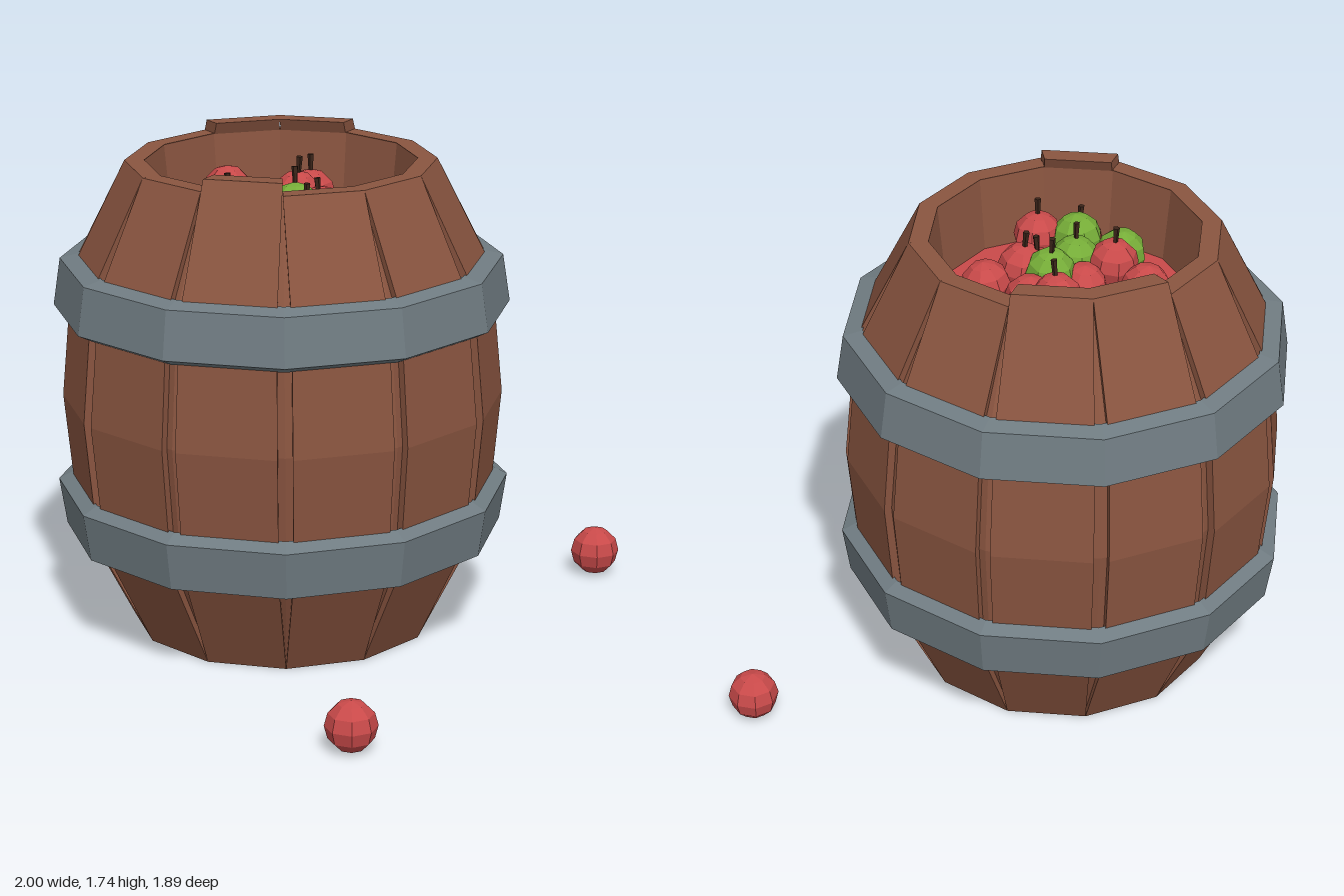
import * as THREE from 'three';

const SIDES = 12;
const STEP = (Math.PI * 2) / SIDES;
const FLAT = Math.cos(STEP / 2); // flat-to-corner ratio of the twelve-sided rings

function material(name, color) {
  const m = new THREE.MeshStandardMaterial({ color, flatShading: true });
  m.name = name;
  return m;
}

function addMesh(parent, name, geometry, mat) {
  const mesh = new THREE.Mesh(geometry, mat);
  mesh.name = name;
  parent.add(mesh);
  return mesh;
}

// Twelve-sided ring; profile is [distance to flat side, height]
function ringGeometry(profile) {
  const pts = profile.map(([r, y]) => new THREE.Vector2(r / FLAT, y));
  return new THREE.LatheGeometry(pts, SIDES, STEP / 2);
}

// Closed plank lofted through [height, outer, inner, half width] sections
function staveGeometry(sections) {
  const pos = [], index = [];
  for (const [y, out, inn, half] of sections) {
    const back = (half * inn) / out;
    pos.push(-half, y, out, half, y, out, back, y, inn, -back, y, inn);
  }
  for (let i = 0; i < sections.length - 1; i++) {
    for (let j = 0; j < 4; j++) {
      const a = i * 4 + j, b = i * 4 + ((j + 1) % 4);
      index.push(a, b, b + 4, a, b + 4, a + 4);
    }
  }
  const t = (sections.length - 1) * 4;
  index.push(t, t + 1, t + 2, t, t + 2, t + 3, 0, 2, 1, 0, 3, 2);
  const g = new THREE.BufferGeometry();
  g.setAttribute('position', new THREE.Float32BufferAttribute(pos, 3));
  g.setIndex(index);
  g.computeVertexNormals();
  return g;
}

export function createModel() {
  const wood = material('brown wood', 0x8a5540);
  const metal = material('grey metal', 0x707c82);
  const red = material('red apple', 0xc94a4a);
  const green = material('green apple', 0x76ad38);
  const stemBrown = material('dark stem', 0x3a2419);

  const model = new THREE.Group();
  model.name = 'appleBarrel';
  const barrel = new THREE.Group();
  barrel.name = 'barrel';
  barrel.position.set(-0.18, 0, -0.17);
  model.add(barrel);

  // Inner shell: recessed bottom, seams between staves, rim and inside wall
  addMesh(barrel, 'innerShell', ringGeometry([
    [0, 0.08], [0.45, 0.08], [0.45, 0.002], [0.51, 0.002], [0.692, 0.387], [0.735, 0.85],
    [0.692, 1.313], [0.51, 1.698], [0.465, 1.698], [0.437, 1.42], [0, 1.41],
  ]), wood);

  // Staves, three of them standing taller
  const raised = [4, 5, 10];
  for (let i = 0; i < SIDES; i++) {
    const top = raised.includes(i) ? [1.74, 0.515, 0.445, 0.138] : [1.7, 0.53, 0.463, 0.142];
    const stave = addMesh(barrel, 'stave', staveGeometry([
      [0, 0.53, 0.455, 0.142], [0.387, 0.723, 0.64, 0.168], [0.85, 0.765, 0.68, 0.178],
      [1.313, 0.723, 0.64, 0.168], top,
    ]), wood);
    stave.rotation.y = i * STEP;
  }

  // Metal hoops, the upper one mirrored from the lower one
  const hoop = [[0.69, 0.338], [0.758, 0.355], [0.783, 0.525], [0.73, 0.553]];
  addMesh(barrel, 'lowerHoop', ringGeometry(hoop), metal);
  addMesh(barrel, 'upperHoop',
    ringGeometry(hoop.map(([r, y]) => [r, 1.703 - y]).reverse()), metal);

  // Red fill under the apples
  addMesh(barrel, 'appleFill', ringGeometry([[0.438, 1.43], [0, 1.43]]), red);

  // Apples: [x, y, z, green?, stem?]
  const appleShape = new THREE.SphereGeometry(0.09, 8, 6);
  const stemShape = new THREE.CylinderGeometry(0.012, 0.008, 0.07, 5);
  const apples = [
    [-0.91, 0.09, 0.85, 0, 0], [0.905, 0.09, 0.415, 0, 0],
    [-0.11, 1.52, -0.51, 0, 0], [-0.34, 1.48, -0.4, 0, 0], [0, 1.5, 0.04, 0, 0],
    [-0.02, 1.49, -0.13, 0, 0], [-0.23, 1.47, -0.21, 0, 0], [-0.45, 1.43, 0.05, 0, 0],
    [-0.53, 1.44, 0.02, 0, 1], [-0.36, 1.52, -0.25, 0, 1], [-0.03, 1.53, -0.24, 0, 1],
    [0.115, 1.5, -0.31, 0, 1], [-0.16, 1.51, 0, 0, 1], [-0.19, 1.49, -0.05, 0, 1],
    [-0.39, 1.5, 0.1, 0, 1], [-0.51, 1.47, -0.18, 1, 0], [-0.45, 1.51, -0.03, 1, 0],
    [-0.31, 1.51, -0.12, 1, 1], [-0.16, 1.53, -0.12, 1, 1], [0.085, 1.46, -0.16, 1, 0],
  ];
  apples.forEach(([x, y, z, isGreen, hasStem], i) => {
    const apple = new THREE.Group();
    apple.name = 'apple';
    apple.position.set(x, y, z);
    if (y > 1) apple.rotation.set(0.1 * Math.sin(i * 2), i * 0.7, 0.1 * Math.cos(i * 3));
    addMesh(apple, 'appleBody', appleShape, isGreen ? green : red);
    if (hasStem) addMesh(apple, 'appleStem', stemShape, stemBrown).position.y = 0.11;
    model.add(apple);
  });

  return model;
}
